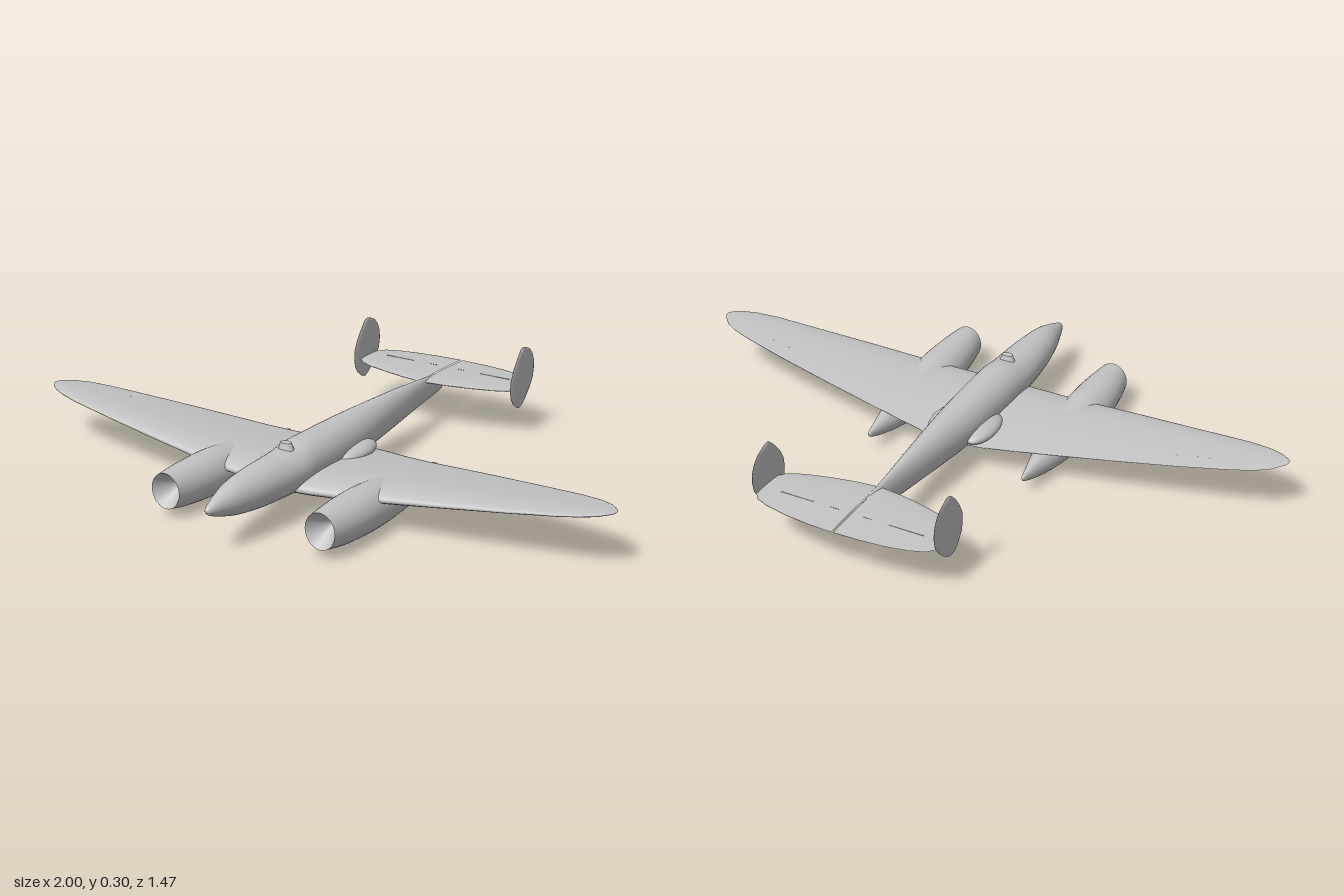
import * as THREE from 'three';

const metal = new THREE.MeshStandardMaterial({ color: 0xc4c4c4 });
metal.name = 'bare grey';

// Skin a list of closed rings of Vector3
function loft(rings) {
  const n = rings[0].length, pos = [], idx = [];
  rings.forEach(r => r.forEach(p => pos.push(p.x, p.y, p.z)));
  for (let i = 0; i < rings.length - 1; i++) {
    for (let j = 0; j < n; j++) {
      const a = i * n + j, b = i * n + (j + 1) % n;
      idx.push(a, a + n, b, b, a + n, b + n);
    }
  }
  const g = new THREE.BufferGeometry();
  g.setAttribute('position', new THREE.Float32BufferAttribute(pos, 3));
  g.setIndex(idx);
  g.computeVertexNormals();
  return g;
}

// Smooth body along z from rows of [z, top, bottom, half width]
function body(rows, x = 0, steps = 6, sides = 36) {
  const a = new THREE.SplineCurve(rows.map(r => new THREE.Vector2(r[0], r[1])));
  const b = new THREE.SplineCurve(rows.map(r => new THREE.Vector2(r[2], r[3])));
  const count = (rows.length - 1) * steps, rings = [];
  for (let i = 0; i <= count; i++) {
    const p = a.getPoint(i / count), q = b.getPoint(i / count);
    const mid = (p.y + q.x) / 2, h = (p.y - q.x) / 2;
    rings.push(Array.from({ length: sides }, (_, j) => {
      const t = j / sides * Math.PI * 2;
      return new THREE.Vector3(x + q.y * Math.cos(t), mid + h * Math.sin(t), p.x);
    }));
  }
  return loft(rings);
}

// Aerofoil section: list of [z, offset], leading edge first, over the top, back underneath
function foil(front, back, thick, n = 32) {
  return Array.from({ length: n }, (_, j) => {
    const t = j / n * Math.PI * 2, c = (1 - Math.cos(t)) / 2;
    const y = 5 * (0.2969 * Math.sqrt(c) - 0.126 * c - 0.3516 * c ** 2 + 0.2843 * c ** 3 - 0.1036 * c ** 4);
    return [front + (back - front) * c, (Math.sin(t) >= 0 ? 1 : -1) * y * thick];
  });
}

// Horizontal surface from rows of [x, front z, back z, y, thickness], x rising
const panel = rows => loft(rows.map(([x, f, b, y, t]) =>
  foil(f, b, t).map(([z, o]) => new THREE.Vector3(x, y + o, z))));

export function createModel() {
  const plane = new THREE.Group();
  plane.name = 'aeroplane';
  const add = (name, geometry) => {
    const m = new THREE.Mesh(geometry, metal);
    m.name = name;
    plane.add(m);
    return m;
  };
  const mirrorRows = rows => rows.map(r => [-r[0], ...r.slice(1)]).reverse();

  // Fuselage
  add('fuselage', body([
    [0.73, 0.147, 0.143, 0.002], [0.715, 0.158, 0.129, 0.013], [0.67, 0.175, 0.11, 0.028],
    [0.6, 0.193, 0.09, 0.047], [0.5, 0.2, 0.075, 0.063], [0.35, 0.202, 0.065, 0.074],
    [0.27, 0.212, 0.062, 0.075], [0.15, 0.211, 0.06, 0.073], [0, 0.208, 0.06, 0.066],
    [-0.15, 0.203, 0.067, 0.051], [-0.3, 0.195, 0.079, 0.034], [-0.45, 0.183, 0.093, 0.017],
    [-0.56, 0.172, 0.104, 0.009], [-0.6, 0.168, 0.112, 0.005], [-0.61, 0.15, 0.13, 0.001],
  ]));

  // Small sighting dome on the back
  const dome = add('dorsalDome', new THREE.CylinderGeometry(0.018, 0.026, 0.022, 20));
  dome.scale.z = 0.7;
  dome.position.set(0, 0.21, 0.33);

  // Wing, one piece from tip to tip
  const half = [
    [0.1, 0.367, -0.038, 0.096, 0.056], [0.2, 0.357, -0.018, 0.102, 0.053],
    [0.3, 0.347, 0, 0.11, 0.048], [0.5, 0.325, 0.033, 0.13, 0.037],
    [0.7, 0.3, 0.07, 0.15, 0.026], [0.85, 0.28, 0.102, 0.166, 0.018],
    [0.92, 0.263, 0.123, 0.173, 0.013], [0.96, 0.245, 0.145, 0.177, 0.01],
    [0.985, 0.226, 0.17, 0.18, 0.006], [0.996, 0.212, 0.186, 0.181, 0.003],
    [1, 0.201, 0.199, 0.182, 0.0005],
  ];
  add('wing', panel([...mirrorRows(half), [0, 0.375, -0.045, 0.093, 0.057], ...half]));

  // Half outlines of the tailplane
  const tail = [
    [0.003, -0.47, -0.735, 0.168, 0.014], [0.08, -0.479, -0.733, 0.168, 0.014],
    [0.16, -0.496, -0.725, 0.168, 0.013], [0.23, -0.516, -0.711, 0.168, 0.012],
    [0.275, -0.536, -0.694, 0.168, 0.011], [0.295, -0.56, -0.672, 0.168, 0.009],
    [0.297, -0.6, -0.63, 0.168, 0.001],
  ];
  // Fin sections: [y, front z, back z]
  const fin = [
    [0.1, -0.584, -0.592], [0.108, -0.565, -0.61], [0.125, -0.543, -0.634], [0.15, -0.525, -0.66],
    [0.18, -0.52, -0.68], [0.21, -0.523, -0.686], [0.24, -0.538, -0.684], [0.265, -0.556, -0.672],
    [0.285, -0.574, -0.654], [0.298, -0.588, -0.628], [0.305, -0.6, -0.606],
  ];

  for (const s of [1, -1]) {
    const side = s > 0 ? 'left' : 'right';
    add(side + 'Tailplane', panel(s > 0 ? tail : mirrorRows(tail)));
    add(side + 'Fin', loft(fin.map(([y, f, b], i) =>
      foil(f, b, i % (fin.length - 1) ? 0.009 : 0.0005)
        .map(([z, o]) => new THREE.Vector3(s * 0.297 - o, y, z)))));

    // Engine nacelle with a hollow intake
    const x = s * 0.27;
    add(side + 'Nacelle', body([
      [0.565, 0.144, 0.031, 0.05], [0.5, 0.146, 0.018, 0.061], [0.42, 0.146, 0.009, 0.069],
      [0.34, 0.144, 0.004, 0.071], [0.25, 0.135, 0.003, 0.069], [0.15, 0.12, 0.006, 0.059],
      [0.07, 0.106, 0.013, 0.044], [0, 0.094, 0.026, 0.027], [-0.05, 0.084, 0.04, 0.015],
      [-0.085, 0.074, 0.055, 0.006], [-0.092, 0.066, 0.064, 0.001],
    ], x));
    add(side + 'Intake', body([[0.48, 0.089, 0.087, 0.001], [0.565, 0.144, 0.031, 0.05]], x));

    // Fairing where the wing meets the fuselage
    const fillet = add(side + 'RootFairing', new THREE.SphereGeometry(1, 24, 16));
    fillet.scale.set(0.045, 0.026, 0.095);
    fillet.position.set(s * 0.065, 0.112, 0.045);

    // Hinge slots on aileron and elevator
    for (let i = 0; i < 8; i++) {
      const hx = 0.56 + i * 0.031;
      const hinge = add(side + 'AileronHinge', new THREE.BoxGeometry(0.014, 0.013, 0.004));
      hinge.position.set(s * hx, 0.136 + (hx - 0.56) * 0.1, 0.108 + (hx - 0.56) * 0.15);
    }
    for (const [hx, w] of [[0.055, 0.03], [0.18, 0.11]]) {
      const hinge = add(side + 'ElevatorHinge', new THREE.BoxGeometry(w, 0.012, 0.003));
      hinge.position.set(s * hx, 0.168, -0.633);
    }
  }
  return plane;
}
